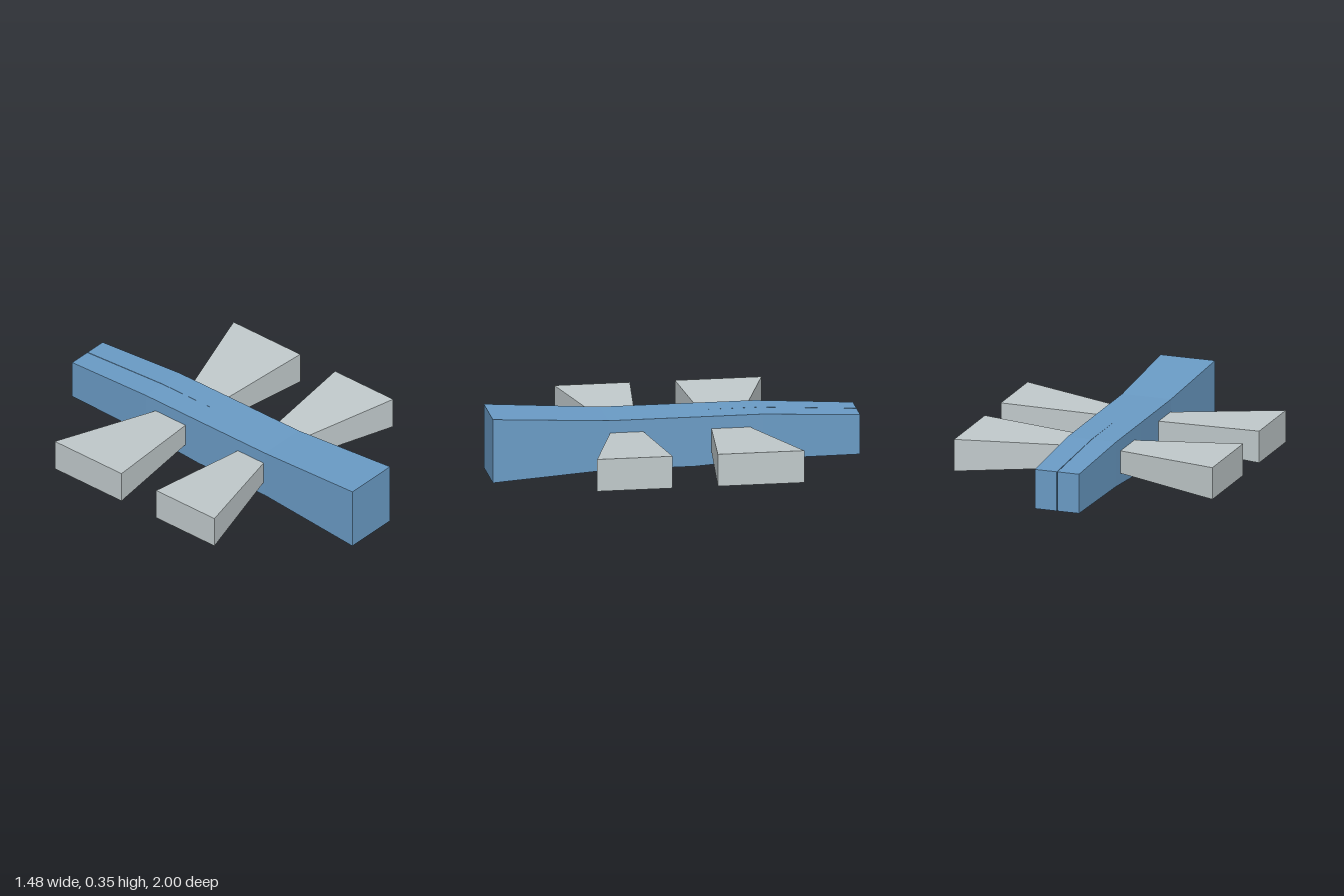
import * as THREE from 'three';

const bodyBlue = new THREE.MeshStandardMaterial({ color: 0x6a9bc5 });
const wingGrey = new THREE.MeshStandardMaterial({ color: 0xc0c9cb });

// Joins four-cornered cross-sections into a closed, flat-faced solid.
// Corners run anticlockwise as seen from the far side of the first section.
function loft(sections, name, material) {
  const points = [];
  const quad = (a, b, c, d) => points.push(...a, ...b, ...c, ...a, ...c, ...d);
  for (let i = 0; i < sections.length - 1; i++) {
    const s = sections[i], t = sections[i + 1];
    for (let k = 0; k < 4; k++) {
      const n = (k + 1) % 4;
      quad(s[k], t[k], t[n], s[n]);
    }
  }
  quad(...sections[0]);
  quad(...[...sections[sections.length - 1]].reverse());
  const geometry = new THREE.BufferGeometry();
  geometry.setAttribute('position', new THREE.Float32BufferAttribute(points, 3));
  geometry.computeVertexNormals();
  const mesh = new THREE.Mesh(geometry, material);
  mesh.name = name;
  return mesh;
}

// Section across z, facing +z
const across = (z, xl0, xr0, y0, y1, xl1 = xl0, xr1 = xr0) =>
  [[xl0, y0, z], [xr0, y0, z], [xr1, y1, z], [xl1, y1, z]];

// Section across x, facing -x for the left wings and +x for the right wings
const side = (s, x, z0, z1, y0, y1) => {
  const c = [[s * x, y0, z0], [s * x, y0, z1], [s * x, y1, z1], [s * x, y1, z0]];
  return s > 0 ? c : c.reverse();
};

export function createModel() {
  const group = new THREE.Group();

  // Head and thorax
  group.add(loft([
    across(1, -0.156, 0.156, 0, 0.353),
    across(0.37, -0.14, 0.14, 0.04, 0.315),
    across(-0.1, -0.14, 0.14, 0.04, 0.315),
  ], 'frontBody', bodyBlue));

  // Tail in two halves with a narrow seam, widest underneath
  for (const s of [1, -1]) {
    const half = (z, w, y0, y1, gap0, gap1) => s > 0
      ? across(z, gap0, w, y0, y1, gap1, w)
      : across(z, -w, -gap0, y0, y1, -w, -gap1);
    group.add(loft([
      half(-0.1, 0.14, 0.04, 0.315, 0, 0),
      half(-0.47, 0.139, 0.065, 0.315, 0.01, 0.001),
      half(-1, 0.126, 0.065, 0.285, 0.002, 0.002),
    ], s > 0 ? 'leftTail' : 'rightTail', bodyBlue));
  }

  // Two pairs of wings, flaring towards the tips
  const wings = [
    ['front', 0.18, 0.36, 0.115, 0.525],
    ['rear', -0.4, -0.19, -0.6, -0.13],
  ];
  for (const [name, r0, r1, t0, t1] of wings) {
    for (const s of [1, -1]) {
      group.add(loft([
        side(s, 0.138, r0, r1, 0.12, 0.246),
        side(s, 0.74, t0, t1, 0.095, 0.273),
      ], name + (s > 0 ? 'LeftWing' : 'RightWing'), wingGrey));
    }
  }
  return group;
}
